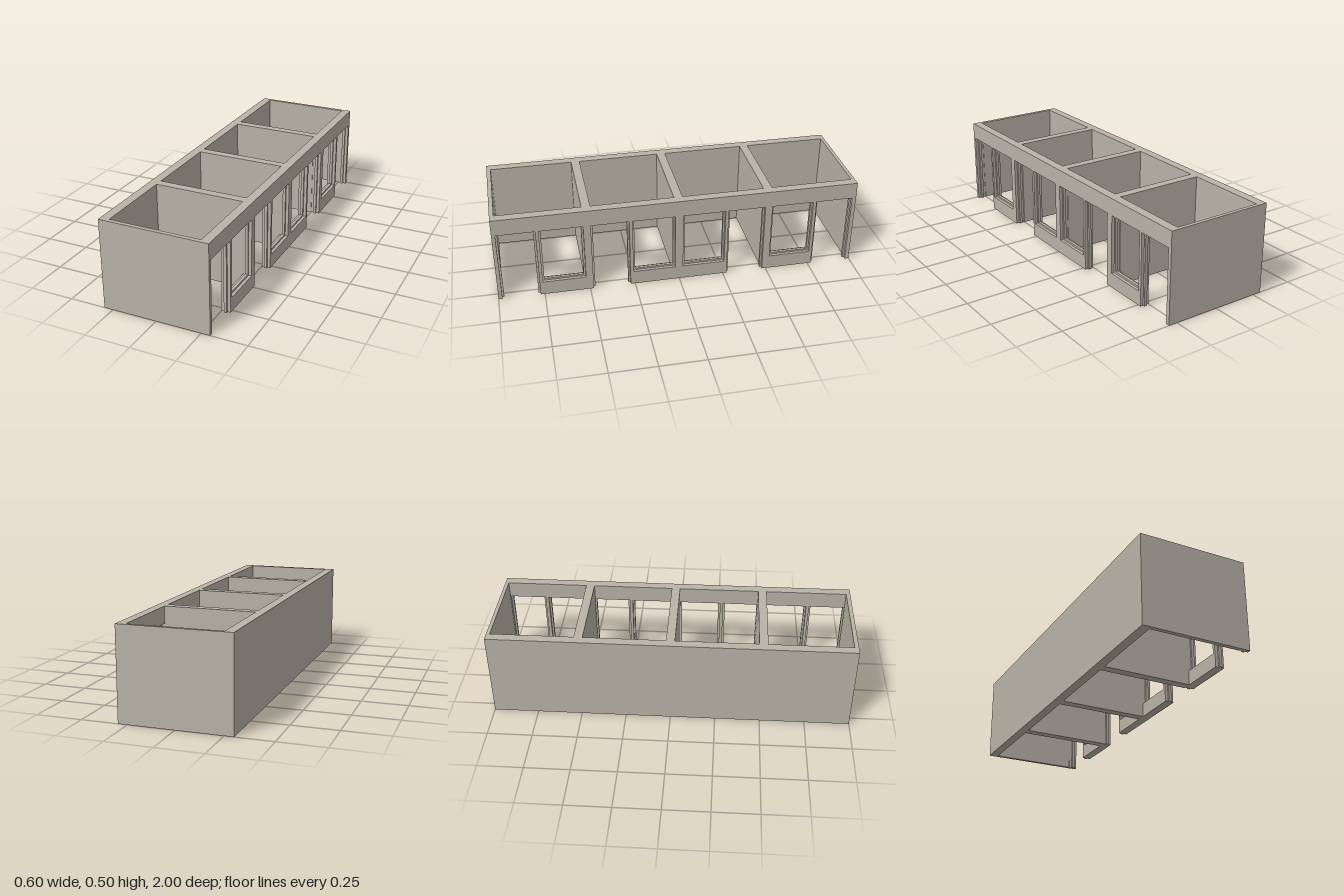
import * as THREE from 'three';

const H = 0.5;              // wall height
const HEAD = 0.407;         // top of the openings
const SILL = 0.08;          // bottom of the windows
const LIP = 0.0105;         // how far the frame lip stands into an opening

// [from z, to z] of each opening
const doors = [[-0.978, -0.771], [-0.479, -0.272], [0.275, 0.481], [0.773, 0.98]];
const windows = [[-0.753, -0.519], [-0.255, -0.021], [0.023, 0.257], [0.521, 0.756]];

export function createModel() {
  const model = new THREE.Group();
  const plaster = new THREE.MeshStandardMaterial({ color: 0xb9b3a8 });
  plaster.name = 'plaster';

  const add = (name, geometry, x, y, z) => {
    const mesh = new THREE.Mesh(geometry, plaster);
    mesh.name = name;
    mesh.position.set(x, y, z);
    model.add(mesh);
  };
  const wall = (name, x0, x1, z0, z1) =>
    add(name, new THREE.BoxGeometry(x1 - x0, H, z1 - z0), (x0 + x1) / 2, H / 2, (z0 + z1) / 2);

  // Solid long wall, end walls and room dividers
  wall('solidLongWall', -0.3, -0.25, -1, 1);
  wall('rearEndWall', -0.25, 0.25, -1, -0.98);
  wall('frontEndWall', -0.25, 0.25, 0.977, 1);
  for (const z of [-0.5, -0.001, 0.498]) wall('roomDivider', -0.25, 0.25, z - 0.024, z + 0.024);

  // One layer of the opened wall: door notches in the outline, windows as holes
  const wallLayer = (inset, depth) => {
    const shape = new THREE.Shape();
    shape.moveTo(-1, 0);
    for (const [a, b] of doors) {
      shape.lineTo(a + inset, 0);
      shape.lineTo(a + inset, HEAD - inset);
      shape.lineTo(b - inset, HEAD - inset);
      shape.lineTo(b - inset, 0);
    }
    shape.lineTo(1, 0);
    shape.lineTo(1, H);
    shape.lineTo(-1, H);
    shape.closePath();
    for (const [a, b] of windows) {
      const hole = new THREE.Path();
      hole.moveTo(a + inset, SILL + inset);
      hole.lineTo(a + inset, HEAD - inset);
      hole.lineTo(b - inset, HEAD - inset);
      hole.lineTo(b - inset, SILL + inset);
      hole.closePath();
      shape.holes.push(hole);
    }
    return new THREE.ExtrudeGeometry(shape, { depth, bevelEnabled: false }).rotateY(-Math.PI / 2);
  };

  // Opened wall: the middle layer forms a lip around every door and window
  add('openedWallOutside', wallLayer(0, 0.017), 0.3, 0, 0);
  add('openedWallFrameLip', wallLayer(LIP, 0.016), 0.283, 0, 0);
  add('openedWallInside', wallLayer(0, 0.017), 0.267, 0, 0);

  return model;
}
